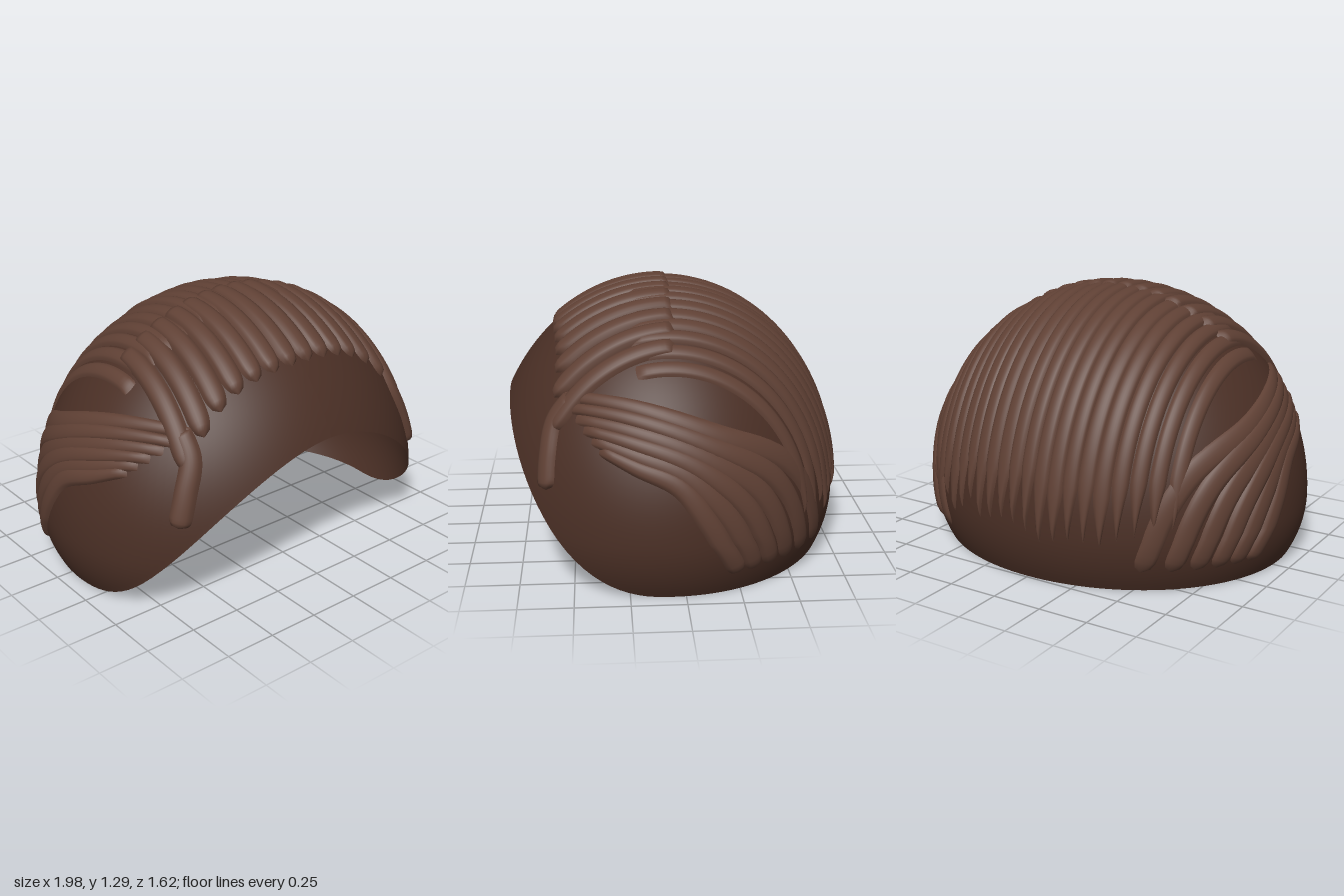
import * as THREE from 'three';

const C = { y: 0.26, z: 0.06 };
const darkHair = new THREE.MeshStandardMaterial({ color: 0x4a2f25, side: THREE.DoubleSide });
const lightHair = new THREE.MeshStandardMaterial({ color: 0x5f4034, side: THREE.DoubleSide });

// Maps a unit direction to the skull ellipsoid, lifted by h
function skull(n, h = 0) {
  const k = 1 + h;
  return new THREE.Vector3(n.x * 0.99 * k, C.y + n.y * (n.y > 0 ? 1.0 : 0.7) * k, C.z + n.z * 0.86 * k);
}

// Unit direction of the skull point seen from the side at (z, y)
function fromSide(z, y, s) {
  const nz = (z - C.z) / 0.86;
  const ny = (y - C.y) / (y > C.y ? 1.0 : 0.7);
  return new THREE.Vector3(s * Math.sqrt(Math.max(0.01, 1 - nz * nz - ny * ny)), ny, nz).normalize();
}

// Height of the lower rim: level at the back, sweeping up to the forehead
function rim(z) {
  const u = THREE.MathUtils.clamp((z - 0.12) / 0.69, 0, 1);
  return 0.78 * (0.5 * Math.pow(u, 2.4) + 0.5 * (1 - Math.sqrt(1 - u * u)));
}

// Smooth surface from a rows x cols grid of points
function gridGeometry(rows, cols, pointAt) {
  const pos = [], idx = [];
  for (let i = 0; i <= rows; i++)
    for (let j = 0; j <= cols; j++) pos.push(...pointAt(i / rows, j / cols).toArray());
  for (let i = 0; i < rows; i++)
    for (let j = 0; j < cols; j++) {
      const a = i * (cols + 1) + j, b = a + cols + 1;
      idx.push(a, b, a + 1, b, b + 1, a + 1);
    }
  const g = new THREE.BufferGeometry();
  g.setAttribute('position', new THREE.Float32BufferAttribute(pos, 3));
  g.setIndex(idx);
  g.computeVertexNormals();
  return g;
}

// Cap, cut along the rim
function capGeometry() {
  const dir = (theta, phi) => new THREE.Vector3(
    Math.sin(theta) * Math.sin(phi), Math.cos(theta), Math.sin(theta) * Math.cos(phi));
  const ends = new Map();
  const endOf = (phi) => {
    if (ends.has(phi)) return ends.get(phi);
    let lo = 0.1, hi = 2.4;
    for (let k = 0; k < 40; k++) {
      const mid = (lo + hi) / 2, p = skull(dir(mid, phi));
      if (p.y > rim(p.z)) lo = mid; else hi = mid;
    }
    ends.set(phi, lo);
    return lo;
  };
  return gridGeometry(40, 128, (t, u) => {
    const phi = u * Math.PI * 2;
    return skull(dir(Math.max(0.0005, t * endOf(phi)), phi));
  });
}

// Domed lock of hair lying on the skull; path(t) gives directions, width(t) half widths
function lock(name, path, width, height, rows = 28) {
  const geometry = gridGeometry(rows, 8, (t, u) => {
    const n = path(t).normalize();
    const tangent = path(Math.min(1, t + 0.01)).normalize().sub(path(Math.max(0, t - 0.01)).normalize());
    const side = new THREE.Vector3().crossVectors(n, tangent).normalize();
    const v = u * 2 - 1;
    const p = n.addScaledVector(side, v * width(t)).normalize();
    const ends = Math.min(1, Math.min(t, 1 - t) * 25);
    return skull(p, height * Math.sqrt(Math.max(0, 1 - v * v)) * ends - 0.004);
  });
  const mesh = new THREE.Mesh(geometry, lightHair);
  mesh.name = name;
  return mesh;
}

// Half width with a rounded far end occupying the last part of the lock
const rounded = (w, start, cap) => (t) => {
  const e = Math.max(0, (t - (1 - cap)) / cap);
  return w * Math.sqrt(Math.max(0, 1 - e * e)) * (start + (1 - start) * Math.min(1, t * 2));
};
const pointed = (w, tip) => (t) => w * Math.min(1, (1 - t) / tip);

// Direction on the front-to-back arc at sideways offset x; b is the angle from the crown
const arc = (x, b) => {
  const r = Math.sqrt(1 - x * x);
  return new THREE.Vector3(x, r * Math.cos(b), r * Math.sin(b));
};

export function createModel() {
  const model = new THREE.Group();
  model.name = 'hair';
  const cap = new THREE.Mesh(capGeometry(), darkHair);
  cap.name = 'cap';
  model.add(cap);

  let seed = 7;
  const rand = () => (seed = (seed * 16807) % 2147483647) / 2147483647;

  // Fringe: a scalloped row of locks across the forehead
  const fringe = new THREE.Group();
  fringe.name = 'fringe';
  for (let k = 0; k < 14; k++) {
    const x = (k - 6.5) * 0.101;
    const end = 0.67 + 0.29 * Math.pow(Math.abs(x) / 0.66, 4);
    fringe.add(lock('fringeLock', (t) => arc(x * (0.9 + 0.1 * t), -0.05 + (end + 0.05) * t),
      rounded(0.056, 0.9, 0.16), 0.034));
  }
  model.add(fringe);

  // Back: long locks combed over the crown, ending in jagged points
  const back = new THREE.Group();
  back.name = 'backLocks';
  for (let k = 0; k < 20; k++) {
    const x = (k - 9.5) * 0.072;
    const end = -1.5 - 0.16 * rand();
    back.add(lock('backLock', (t) => arc(x, 0.25 + (end - 0.25) * t),
      pointed(0.043, 0.13 + 0.05 * rand()), 0.018 + 0.008 * rand(), 40));
  }
  model.add(back);

  // Sides: locks swept from the temple back and down, plus a sideburn
  const upper = [[0.56, 0.84], [0.25, 0.85], [-0.15, 0.73], [-0.48, 0.55], [-0.6, 0.34], [-0.63, 0.1]];
  const lower = [[0.38, 0.67], [0.22, 0.61], [0.03, 0.53], [-0.1, 0.36], [-0.18, 0.22], [-0.24, 0.1]];
  for (const s of [1, -1]) {
    const side = new THREE.Group();
    side.name = s > 0 ? 'leftSide' : 'rightSide';
    for (let k = 0; k < 6; k++) {
      const f = k / 5;
      const curve = new THREE.CatmullRomCurve3(upper.map(([z, y], i) => fromSide(
        z + (lower[i][0] - z) * f, y + (lower[i][1] - y) * f, s)));
      side.add(lock('sweptLock', (t) => curve.getPoint(t),
        rounded(0.058, 0.45, 0.08), 0.02 + 0.004 * (k % 2), 36));
    }
    const burn = new THREE.CatmullRomCurve3([[0.5, 0.85], [0.58, 0.74], [0.61, 0.6], [0.62, 0.45]]
      .map(([z, y]) => fromSide(z, y, s)));
    side.add(lock('sideburn', (t) => burn.getPoint(t), rounded(0.06, 0.9, 0.1), 0.035));
    model.add(side);
  }
  return model;
}
